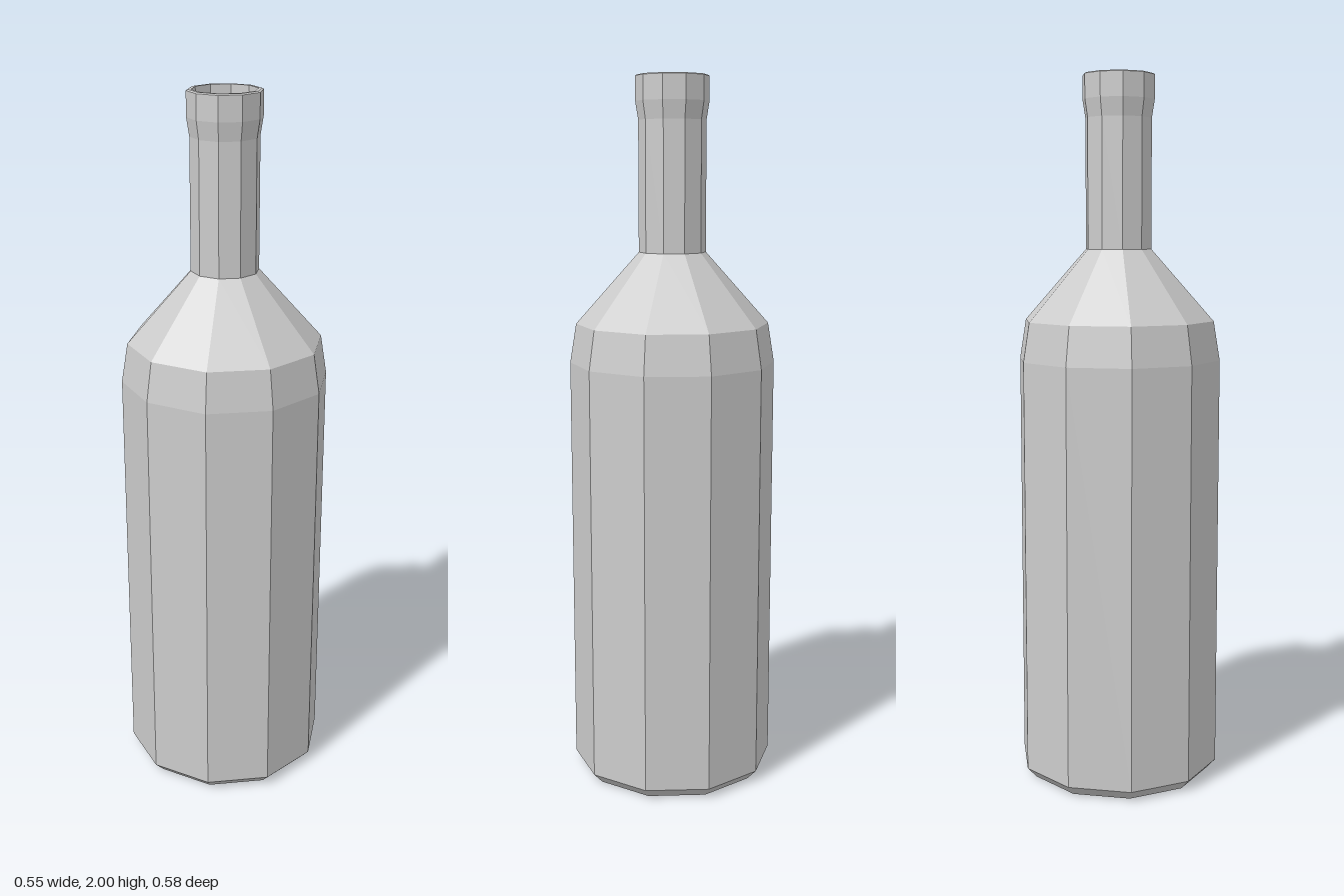
import * as THREE from 'three';

const SIDES = 10;

export function createModel() {
  const model = new THREE.Group();
  model.name = 'bottle';
  const material = new THREE.MeshStandardMaterial({ color: 0xcccccc, flatShading: true });

  // Turns a [radius, height] profile into a ten-sided part
  const turn = (name, profile) => {
    const points = profile.map(([r, y]) => new THREE.Vector2(r, y));
    const mesh = new THREE.Mesh(new THREE.LatheGeometry(points, SIDES), material);
    mesh.name = name;
    model.add(mesh);
  };

  // Base, straight sides and sloping shoulder
  turn('body', [[0, 0], [0.262, 0], [0.29, 0.03], [0.29, 1.21], [0.272, 1.32], [0.094, 1.52]]);

  // Slim neck
  turn('neck', [[0.094, 1.52], [0.094, 1.88]]);

  // Flared lip with a flat rim
  turn('lip', [[0.094, 1.88], [0.102, 1.93], [0.102, 1.997], [0.097, 2], [0.088, 2]]);

  // Hollow inside, following the outer wall down to the floor
  turn('innerWall', [[0.088, 2], [0.088, 1.93], [0.08, 1.88], [0.08, 1.515],
    [0.258, 1.312], [0.275, 1.21], [0.275, 0.035], [0.255, 0.015], [0, 0.015]]);

  return model;
}
